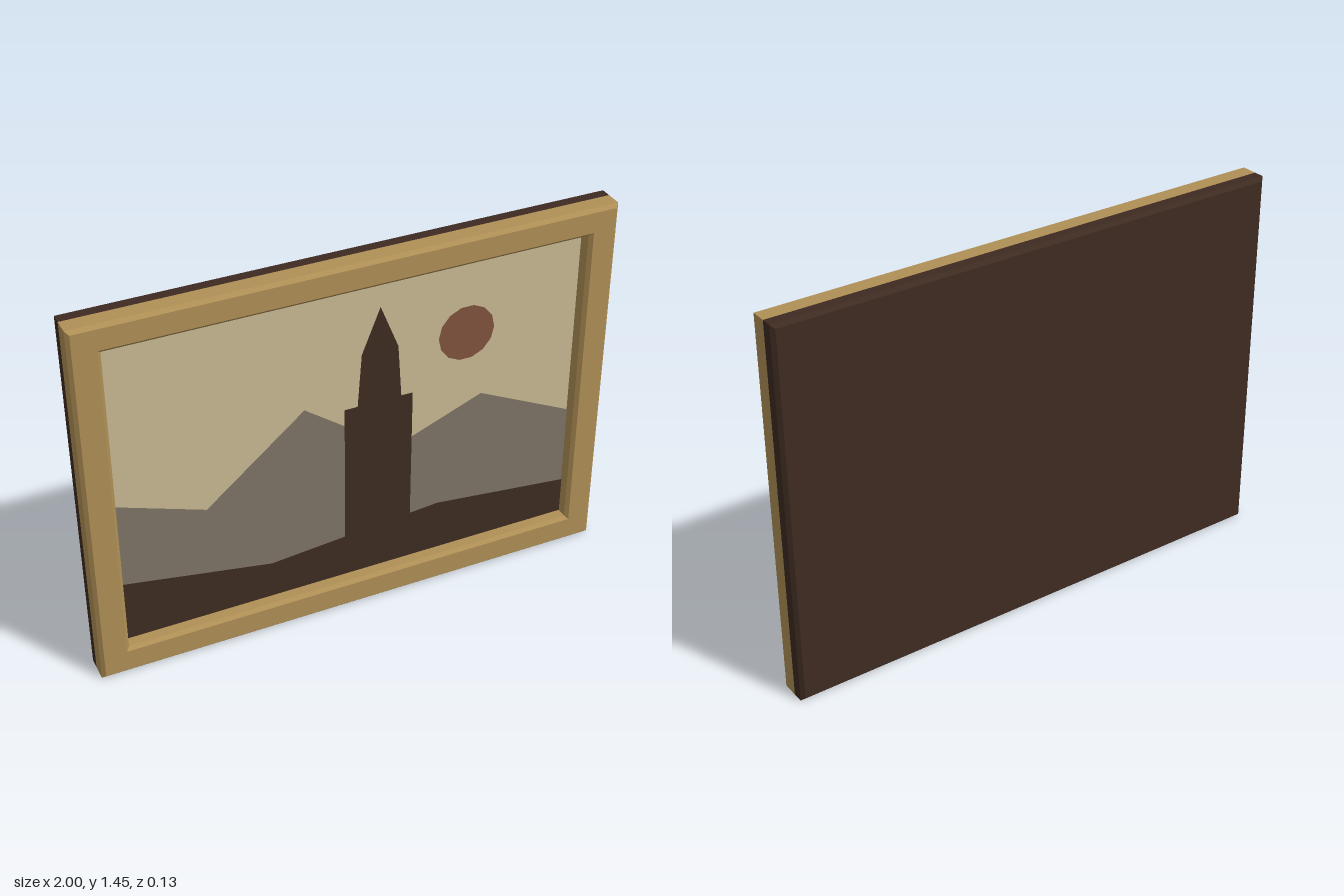
import * as THREE from 'three';

const material = (name, color) => {
  const m = new THREE.MeshStandardMaterial({ color });
  m.name = name;
  return m;
};

const W = 1, H = 1.45;              // half width and height of the frame
const IN_X = 0.89, IN_Y0 = 0.11, IN_Y1 = 1.345; // opening
const BEVEL = 0.013;

const polygon = (points) => new THREE.Shape(points.map(([x, y]) => new THREE.Vector2(x, y)));
const rectangle = (x, y0, y1) => polygon([[-x, y0], [x, y0], [x, y1], [-x, y1]]);

// Slab with chamfered edges; z0 and z1 bound its straight sides
function slab(shape, z0, z1) {
  return new THREE.ExtrudeGeometry(shape, {
    depth: z1 - z0, bevelEnabled: true, bevelSegments: 1,
    bevelSize: BEVEL, bevelThickness: BEVEL, bevelOffset: -BEVEL,
  }).translate(0, 0, z0);
}

export function createModel() {
  const group = new THREE.Group();
  group.name = 'framedPicture';
  const gold = material('gold', 0xb08f56);
  const darkBrown = material('darkBrown', 0x3e2b22);
  const sand = material('sand', 0xc9ba94);
  const greyBrown = material('greyBrown', 0x7f7567);
  const rust = material('rust', 0x82533f);

  const add = (name, geometry, mat) => {
    const mesh = new THREE.Mesh(geometry, mat);
    mesh.name = name;
    group.add(mesh);
  };

  // Frame ring and backing board, meeting at z = -0.01
  const ring = rectangle(W, 0, H);
  ring.holes.push(rectangle(IN_X, IN_Y0, IN_Y1));
  add('frame', slab(ring, -0.01, 0.05), gold);
  add('backBoard', slab(rectangle(W, 0, H), -0.05, -0.01), darkBrown);

  // Picture layers, each a flat sheet slightly in front of the last
  const layer = (name, shape, z, mat) =>
    add(name, new THREE.ShapeGeometry(shape).translate(0, 0, z), mat);

  layer('sky', rectangle(IN_X, IN_Y0, IN_Y1), 0.005, sand);
  layer('mountains', polygon([
    [-IN_X, IN_Y0], [IN_X, IN_Y0], [IN_X, 0.585], [0.515, 0.765], [0.174, 0.63],
    [-0.18, 0.89], [-0.555, 0.58], [-IN_X, 0.70],
  ]), 0.008, greyBrown);
  add('sun', new THREE.CircleGeometry(0.11, 14).translate(0.445, 1.04, 0.008), rust);
  layer('foreground', polygon([
    [-IN_X, IN_Y0], [IN_X, IN_Y0], [IN_X, 0.26], [0.35, 0.32], [-0.32, 0.26], [-IN_X, 0.36],
  ]), 0.011, darkBrown);
  layer('tower', polygon([
    [-0.03, 0.2], [0.235, 0.2], [0.235, 0.85], [0.19, 0.85], [0.175, 1.06],
    [0.105, 1.235], [0.035, 1.06], [0.02, 0.85], [-0.03, 0.85],
  ]), 0.013, darkBrown);

  return group;
}
